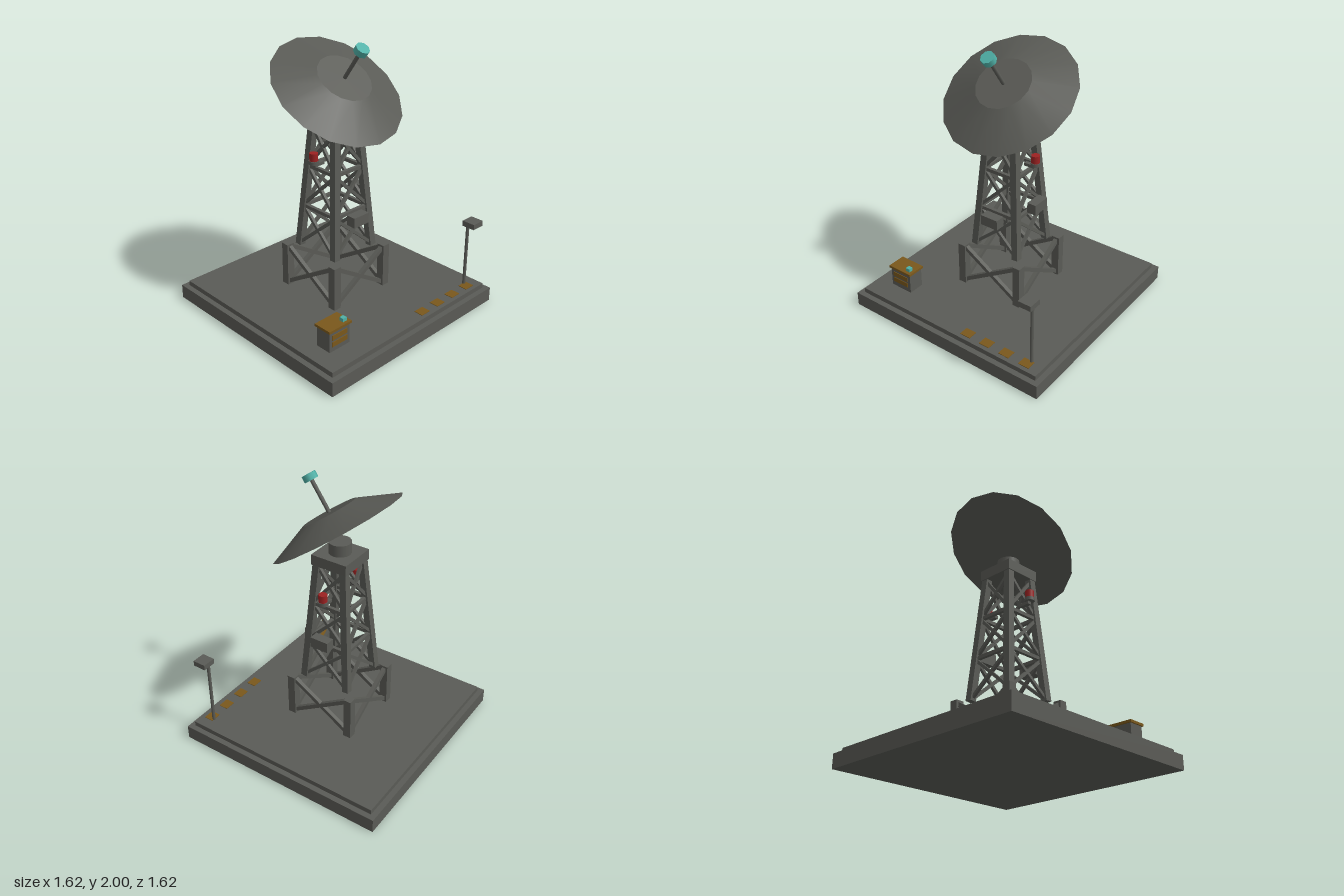
import * as THREE from 'three';

const mat = (name, color) => {
  const m = new THREE.MeshStandardMaterial({ color });
  m.name = name;
  return m;
};

export function createModel() {
  const grey = mat('weathered grey', 0x5a5b56);
  const ochre = mat('ochre', 0x7a581c);
  const red = mat('signal red', 0x9c2222);
  const teal = mat('teal', 0x4fb0a6);
  const model = new THREE.Group();
  model.name = 'radarTower';

  const add = (name, geometry, material, x, y, z, parent = model) => {
    const mesh = new THREE.Mesh(geometry, material);
    mesh.name = name;
    mesh.position.set(x, y, z);
    parent.add(mesh);
    return mesh;
  };
  const box = (name, material, w, h, d, x, y, z, parent) =>
    add(name, new THREE.BoxGeometry(w, h, d), material, x, y, z, parent);
  const cyl = (name, material, rTop, rBottom, h, sides, x, y, z, parent) =>
    add(name, new THREE.CylinderGeometry(rTop, rBottom, h, sides), material, x, y, z, parent);
  // Square bar between two points
  const beam = (name, a, b, t, parent) => {
    const dir = b.clone().sub(a);
    const mid = a.clone().add(b).multiplyScalar(0.5);
    const mesh = box(name, grey, t, dir.length(), t, mid.x, mid.y, mid.z, parent);
    mesh.quaternion.setFromUnitVectors(new THREE.Vector3(0, 1, 0), dir.normalize());
  };
  const v = (x, y, z) => new THREE.Vector3(x, y, z);

  // Stepped foundation
  box('foundation', grey, 1.62, 0.105, 1.62, 0, 0.0525, 0);
  box('deck', grey, 1.54, 0.04, 1.54, 0, 0.122, 0);

  // One side of the tower, repeated four times around
  const half = (y) => 0.18 - (y - 0.47) * 0.078;
  const levels = [0.47, 0.78, 1.085, 1.39];
  for (let i = 0; i < 4; i++) {
    const side = new THREE.Group();
    side.name = 'towerSide';
    side.rotation.y = i * Math.PI / 2;
    model.add(side);

    // Pedestal post and cross braces
    box('pedestalPost', grey, 0.06, 0.33, 0.06, 0.245, 0.305, 0.245, side);
    for (const s of [-1, 1])
      beam('pedestalBrace', v(-0.235 * s, 0.16, 0.245), v(0.235 * s, 0.45, 0.245), 0.03, side);

    // Tapering leg
    const lo = half(0.47), hi = half(1.39);
    beam('towerLeg', v(lo, 0.47, lo), v(hi, 1.395, hi), 0.05, side);

    // Lattice between the legs
    for (let k = 0; k < 3; k++) {
      const y0 = levels[k], y1 = levels[k + 1], a = half(y0), b = half(y1);
      for (const s of [-1, 1])
        beam('latticeBrace', v(-a * s, y0 + 0.01, a), v(b * s, y1 - 0.01, b), 0.022, side);
      if (k < 2) beam('latticeRing', v(-b, y1, b), v(b, y1, b), 0.025, side);
    }
  }

  // Head platform and turntable
  box('headPlatform', grey, 0.28, 0.077, 0.28, 0, 1.428, 0);
  cyl('turntable', grey, 0.08, 0.08, 0.085, 16, 0, 1.508, 0);

  // Tilted dish with its feed, built along the dish axis
  const dish = new THREE.Group();
  dish.name = 'dishAssembly';
  dish.position.set(0, 1.64, 0.0185);
  dish.rotation.x = 0.613;
  model.add(dish);
  cyl('dish', grey, 0.2, 0.487, 0.119, 16, 0, 0.0595, 0, dish);
  cyl('feedRod', grey, 0.014, 0.014, 0.25, 8, 0, 0.235, 0, dish);
  cyl('feedHead', teal, 0.05, 0.05, 0.045, 8, 0, 0.381, 0, dish);

  // Warning lamps on both sides
  for (const s of [-1, 1]) {
    box('lampArm', grey, 0.085, 0.022, 0.03, s * 0.162, 1.146, 0);
    cyl('lampBase', grey, 0.036, 0.036, 0.025, 10, s * 0.205, 1.168, 0);
    cyl('warningLamp', red, 0.031, 0.031, 0.055, 10, s * 0.205, 1.208, 0);
  }

  // Equipment boxes on the lattice
  box('frontEquipmentBox', grey, 0.14, 0.075, 0.075, 0, 0.748, 0.223);
  box('sideEquipmentBox', grey, 0.07, 0.078, 0.14, 0.225, 0.848, 0);

  // Control cabinet
  box('cabinet', grey, 0.18, 0.155, 0.12, -0.55, 0.217, 0.548);
  box('cabinetLid', ochre, 0.2, 0.018, 0.14, -0.55, 0.301, 0.548);
  for (const y of [0.197, 0.247])
    box('cabinetPanel', ochre, 0.135, 0.036, 0.006, -0.552, y, 0.61);
  box('cabinetBeacon', teal, 0.034, 0.026, 0.034, -0.49, 0.322, 0.578);

  // Deck markings
  for (let i = 0; i < 4; i++)
    box('deckMarking', ochre, 0.082, 0.005, 0.07, 0.16 + i * 0.164, 0.1435, 0.705);

  // Floodlight mast
  cyl('mast', grey, 0.012, 0.012, 0.5, 8, 0.67, 0.39, 0.672);
  box('floodlight', grey, 0.1, 0.04, 0.1, 0.67, 0.655, 0.711);

  return model;
}
